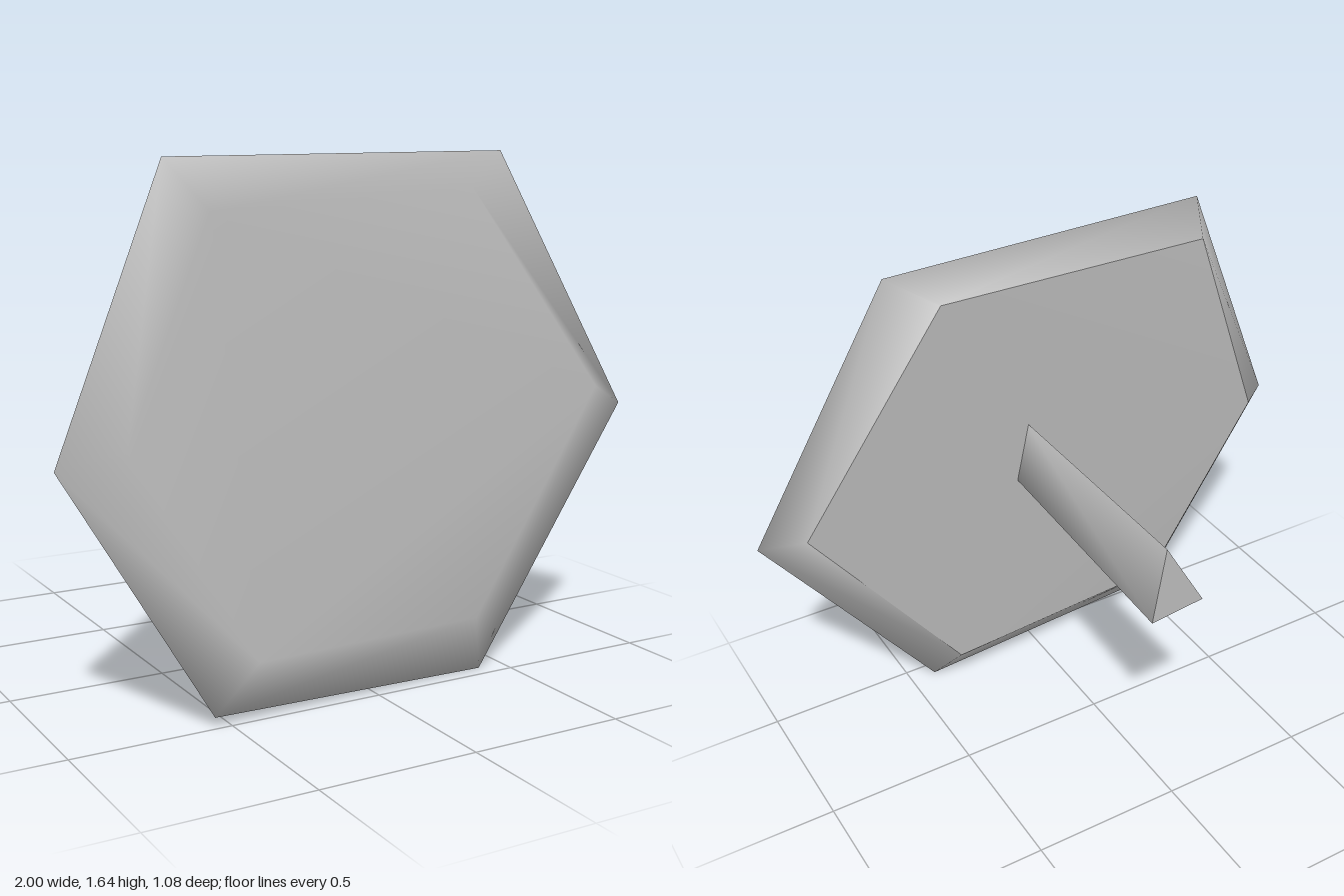
import * as THREE from 'three';

// Indexed geometry from points and triangles; shared corners shade smoothly
function build(points, faces) {
  const g = new THREE.BufferGeometry();
  g.setAttribute('position', new THREE.Float32BufferAttribute(points.flat(), 3));
  g.setIndex(faces.flat());
  g.computeVertexNormals();
  return g;
}

// Side faces joining successive rings (clockwise from the front, front to back)
function loftFaces(n, rings) {
  const faces = [];
  for (let r = 0; r < rings - 1; r++) {
    for (let i = 0; i < n; i++) {
      const j = (i + 1) % n, a = r * n, b = a + n;
      faces.push([a + i, a + j, b + j], [a + i, b + j, b + i]);
    }
  }
  return faces;
}

export function createModel() {
  const group = new THREE.Group();
  const grey = new THREE.MeshStandardMaterial({ color: 0xbcbcbc });
  grey.name = 'plainGrey';
  const add = (name, geometry) => {
    const mesh = new THREE.Mesh(geometry, grey);
    mesh.name = name;
    group.add(mesh);
  };

  // Irregular hexagon: front face, widest rim, back face
  const front = [[-0.54, 1.47, 0.47], [0.37, 1.53, 0.42], [0.83, 0.89, 0.48],
    [0.36, 0.19, 0.50], [-0.43, 0.19, 0.54], [-0.81, 0.83, 0.50]];
  const rim = [[-0.67, 1.62, 0.44], [0.51, 1.64, 0.37], [1.0, 0.81, 0.40],
    [0.41, 0.0, 0.45], [-0.55, 0.03, 0.49], [-1.0, 0.79, 0.45]];
  const back = [[-0.61, 1.53, 0.31], [0.38, 1.57, 0.25], [0.87, 0.86, 0.29],
    [0.35, 0.14, 0.335], [-0.49, 0.16, 0.38], [-0.87, 0.81, 0.34]];

  // Front face flows smoothly into the bevelled rim
  const frontFaces = [[0, 2, 1], [0, 4, 2], [0, 5, 4], [2, 4, 3]];
  add('plateFrontAndRim', build([...front, ...rim, ...back], [...frontFaces, ...loftFaces(6, 3)]));

  // Back face has a sharp edge
  add('plateBack', build(back, [[5, 0, 1], [5, 1, 2], [5, 2, 3], [5, 3, 4]]));

  // Three-sided stem, widening towards the rear
  const stemBase = [[0.07, 1.035, 0.32], [0.11, 0.82, 0.32], [-0.04, 0.84, 0.32]];
  const stemEnd = [[0.08, 1.055, -0.54], [0.125, 0.80, -0.54], [-0.055, 0.82, -0.54]];
  add('stem', build([...stemBase, ...stemEnd], loftFaces(3, 2)));
  add('stemEnd', build(stemEnd, [[0, 1, 2]]));

  return group;
}
